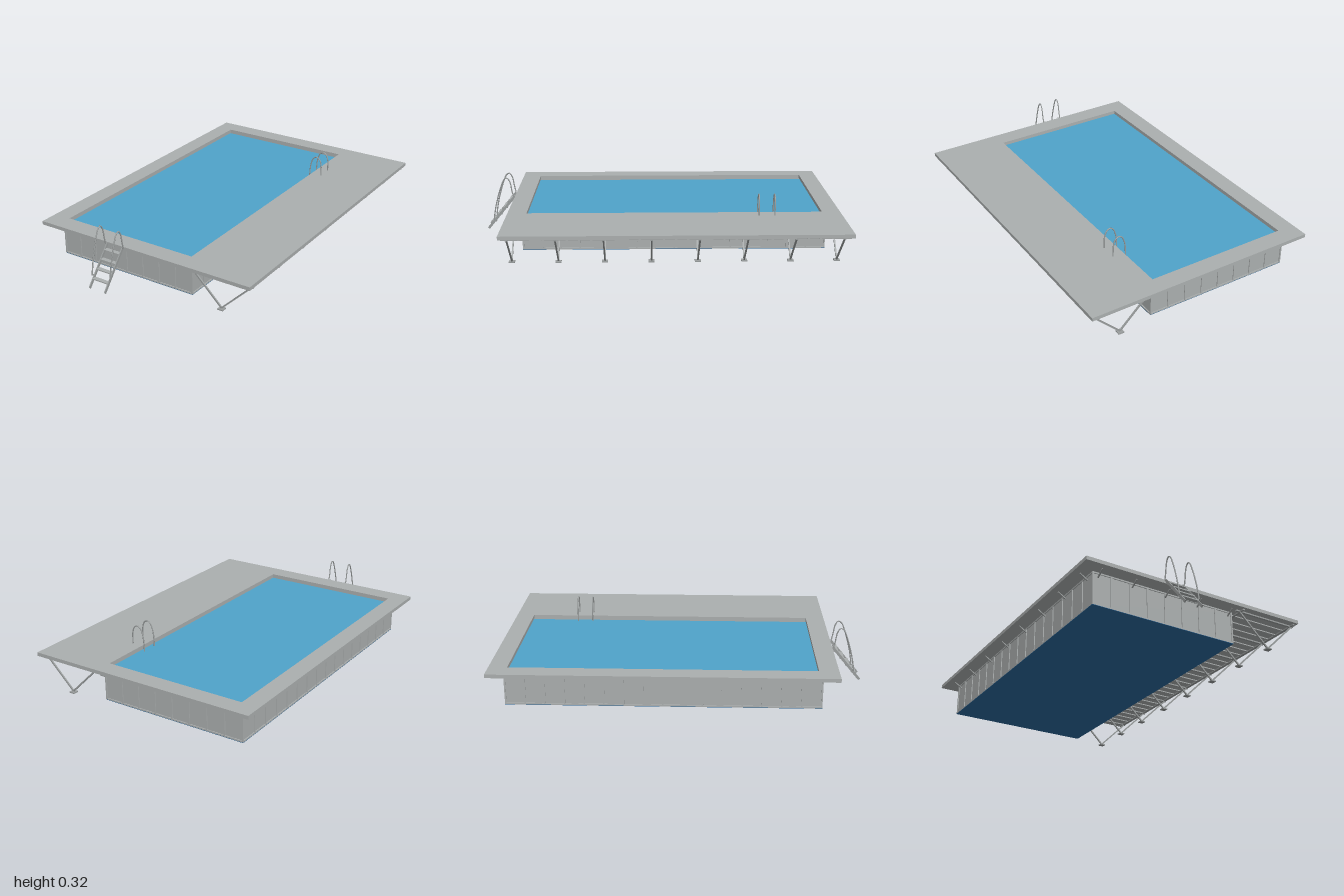
import * as THREE from 'three';

const V = (x, y, z) => new THREE.Vector3(x, y, z);

// Pool shell bounds and heights
const X0 = -0.58, X1 = 0.27, Z0 = -0.92, Z1 = 0.75;
const WALL_TOP = 0.184, DECK_Y = 0.185, DECK_TOP = 0.205;

export function createModel() {
  const mat = (name, color, side = THREE.FrontSide) => {
    const m = new THREE.MeshStandardMaterial({ color, side });
    m.name = name;
    return m;
  };
  const grey = mat('galvanised grey', 0xabafaf);
  const steel = mat('steel tube grey', 0x9a9e9e);
  const water = mat('water blue', 0x4fa3ca);
  const liner = mat('liner blue', 0x2a6699);

  const model = new THREE.Group();
  model.name = 'raisedPool';
  const group = (name) => {
    const g = new THREE.Group();
    g.name = name;
    model.add(g);
    return g;
  };
  const add = (parent, name, geo, m) => {
    const mesh = new THREE.Mesh(geo, m);
    mesh.name = name;
    parent.add(mesh);
    return mesh;
  };
  // Box given by its minimum and maximum corners
  const block = (parent, name, m, x0, x1, y0, y1, z0, z1) => {
    const b = add(parent, name, new THREE.BoxGeometry(x1 - x0, y1 - y0, z1 - z0), m);
    b.position.set((x0 + x1) / 2, (y0 + y1) / 2, (z0 + z1) / 2);
    return b;
  };
  // Rectangular bar between two points
  const bar = (parent, name, m, a, b, w, h = w) => {
    const mesh = add(parent, name, new THREE.BoxGeometry(w, h, a.distanceTo(b)), m);
    mesh.position.copy(a).add(b).multiplyScalar(0.5);
    mesh.lookAt(b);
    return mesh;
  };
  // Bent round tube through points
  const pipe = (parent, name, points, r = 0.0035) =>
    add(parent, name, new THREE.TubeGeometry(new THREE.CatmullRomCurve3(points), 32, r, 8), steel);

  // Deck slab with the pool opening
  const slab = new THREE.Shape();
  slab.moveTo(-0.66, -0.83).lineTo(0.66, -0.83).lineTo(0.66, 1).lineTo(-0.66, 1).closePath();
  const hole = new THREE.Path();
  hole.moveTo(-0.56, -0.725).lineTo(-0.56, 0.9).lineTo(0.25, 0.9).lineTo(0.25, -0.725).closePath();
  slab.holes.push(hole);
  const deckGeo = new THREE.ExtrudeGeometry(slab, { depth: DECK_TOP - DECK_Y, bevelEnabled: false });
  deckGeo.rotateX(-Math.PI / 2).translate(0, DECK_Y, 0);
  add(model, 'deck', deckGeo, grey);

  // Water surface and floor liner
  block(model, 'water', water, X0 + 0.01, X1 - 0.01, 0.172, 0.176, Z0 + 0.01, Z1 - 0.01);
  block(model, 'poolFloor', liner, X0, X1, 0, 0.002, Z0, Z1);

  // Wall panels, set back behind the ribs
  const walls = group('walls');
  const e = 0.005, t = 0.012;
  block(walls, 'frontPanel', grey, X0 + e, X1 - e, 0.002, WALL_TOP, Z1 - t, Z1 - e);
  block(walls, 'backPanel', grey, X0 + e, X1 - e, 0.002, WALL_TOP, Z0 + e, Z0 + t);
  block(walls, 'rightPanel', grey, X0 + e, X0 + t, 0.002, WALL_TOP, Z0 + t, Z1 - t);
  block(walls, 'leftPanel', grey, X1 - t, X1 - e, 0.002, WALL_TOP, Z0 + t, Z1 - t);

  // Bottom and top rails, and ribs between panels
  const frame = group('wallFrame');
  for (const [y0, y1] of [[0.002, 0.01], [0.176, WALL_TOP]]) {
    block(frame, 'rail', grey, X0, X1, y0, y1, Z1 - e, Z1);
    block(frame, 'rail', grey, X0, X1, y0, y1, Z0, Z0 + e);
    block(frame, 'rail', grey, X0, X0 + e, y0, y1, Z0 + e, Z1 - e);
    block(frame, 'rail', grey, X1 - e, X1, y0, y1, Z0 + e, Z1 - e);
  }
  const r = 0.004;
  for (let i = 0; i <= 8; i++) {
    const x = X0 + r + ((X1 - X0 - 2 * r) * i) / 8;
    block(frame, 'rib', grey, x - r, x + r, 0.01, 0.176, Z1 - e, Z1);
    block(frame, 'rib', grey, x - r, x + r, 0.01, 0.176, Z0, Z0 + e);
  }
  for (let i = 0; i <= 16; i++) {
    const z = Z0 + r + ((Z1 - Z0 - 2 * r) * i) / 16;
    block(frame, 'rib', grey, X0, X0 + e, 0.01, 0.176, z - r, z + r);
    block(frame, 'rib', grey, X1 - e, X1, 0.01, 0.176, z - r, z + r);
  }

  // Small diagonal braces under the narrow overhangs
  const braces = group('deckBraces');
  for (let i = 0; i < 5; i++) {
    const x = -0.55 + i * 0.1975;
    bar(braces, 'brace', steel, V(x, 0.155, Z1), V(x, 0.183, Z1 + 0.045), 0.006);
    bar(braces, 'brace', steel, V(x, 0.155, Z0), V(x, 0.183, Z0 - 0.045), 0.006);
  }
  for (let i = 0; i < 8; i++) {
    const z = 0.7 - i * 0.224;
    bar(braces, 'brace', steel, V(X0, 0.155, z), V(X0 - 0.045, 0.183, z), 0.006);
  }

  // V-shaped trusses with foot plates under the wide overhang
  const trusses = group('deckTrusses');
  for (let i = 0; i < 8; i++) {
    const z = 0.785 - i * 0.2475;
    const foot = V(0.47, 0.008, z);
    bar(trusses, 'strut', steel, V(0.292, 0.182, z), foot, 0.008);
    bar(trusses, 'strut', steel, V(0.648, 0.182, z), foot, 0.008);
    block(trusses, 'chord', steel, X1, 0.655, 0.177, DECK_Y, z - 0.006, z + 0.006);
    block(trusses, 'footPlate', steel, 0.454, 0.486, 0, 0.006, z - 0.016, z + 0.016);
    // Intermediate joists
    for (let k = 1; k <= 3 && i < 7; k++) {
      const zj = z - k * 0.0619;
      block(trusses, 'joist', grey, X1, 0.65, 0.179, DECK_Y, zj - 0.006, zj + 0.006);
    }
  }
  for (const x of [0.3, 0.64]) {
    block(trusses, 'longBeam', steel, x - 0.006, x + 0.006, 0.178, DECK_Y, -0.985, 0.815);
  }

  // Entry ladder: sloping stringers, flat treads, bent handrails
  const entry = group('entryLadder');
  for (const s of [-1, 1]) {
    const x = -0.155 + s * 0.05;
    bar(entry, 'stringer', steel, V(x, 0.009, 0.992), V(x, 0.198, 0.836), 0.006, 0.014);
    const h = -0.155 + s * 0.059;
    pipe(entry, 'handrail', [
      V(h, 0.065, 0.957), V(h, 0.11, 0.95), V(h, 0.17, 0.937), V(h, 0.26, 0.91),
      V(h, 0.306, 0.889), V(h, 0.314, 0.872), V(h, 0.29, 0.856), V(h, 0.235, 0.846), V(h, 0.2, 0.838),
    ]);
    for (const [y, z] of [[0.067, 0.953], [0.2, 0.838]]) {
      bar(entry, 'handrailBracket', steel, V(x, y, z), V(h, y, z), 0.006);
    }
  }
  for (let i = 0; i < 4; i++) {
    const y = 0.052 + i * 0.041;
    const z = 0.957 - i * 0.034;
    block(entry, 'tread', grey, -0.205, -0.105, y - 0.003, y + 0.003, z - 0.012, z + 0.012);
  }

  // Pool ladder: a pair of arched grab rails dipping into the water
  const grab = group('poolLadder');
  for (const z of [-0.632, -0.546]) {
    pipe(grab, 'grabRail', [
      V(0.235, 0.16, z), V(0.236, 0.215, z), V(0.242, 0.265, z), V(0.257, 0.302, z), V(0.277, 0.314, z),
      V(0.297, 0.303, z), V(0.309, 0.27, z), V(0.311, 0.23, z), V(0.311, 0.2, z),
    ]);
  }
  return model;
}
